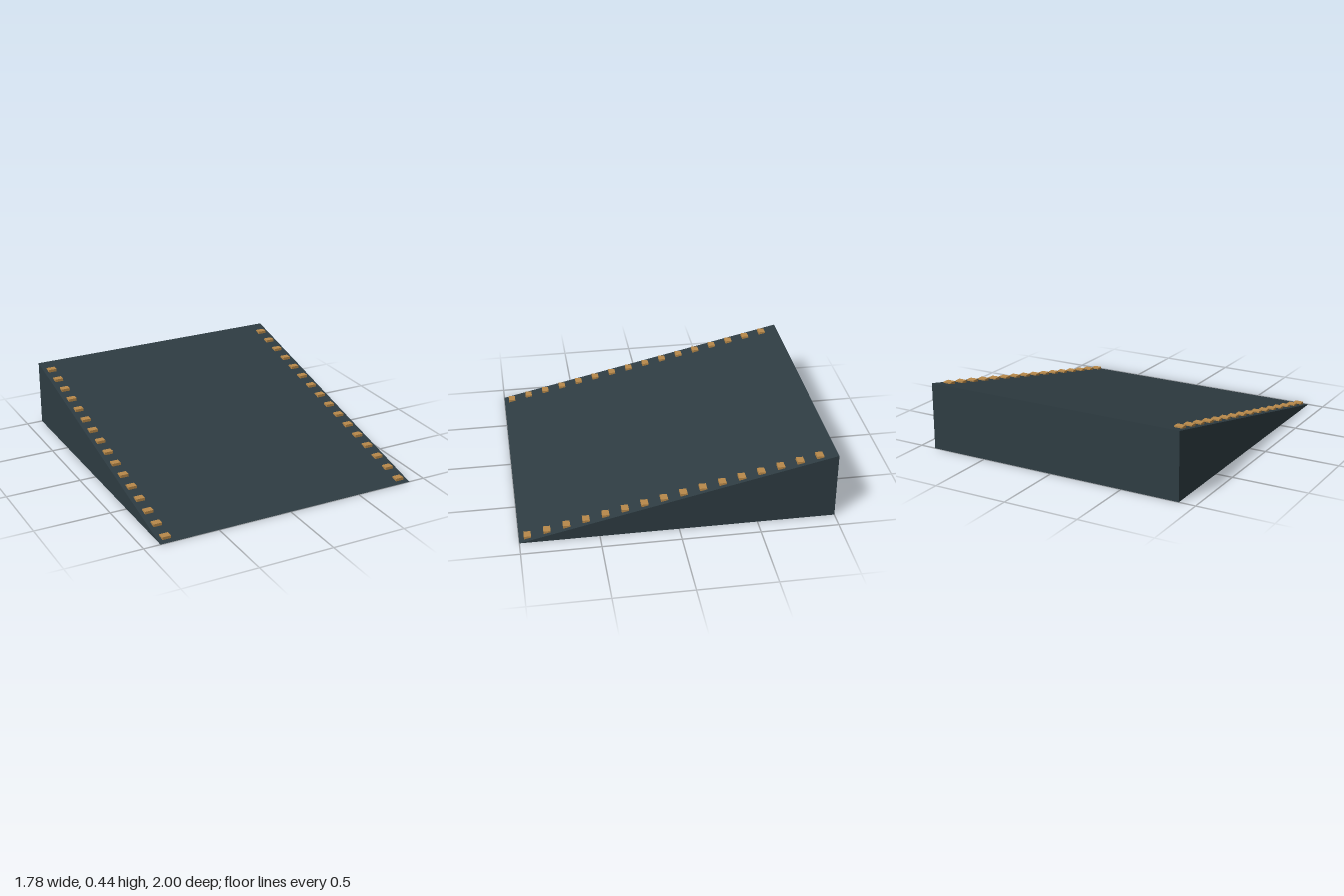
import * as THREE from 'three';

const HALF_WIDTH = 0.89, HEIGHT = 0.445;
const slopeY = (z) => HEIGHT * (1 - z) / 2;

export function createModel() {
  const slate = new THREE.MeshStandardMaterial({ name: 'darkSlate', color: 0x2e3c42 });
  const brass = new THREE.MeshStandardMaterial({ name: 'brass', color: 0xb8894a });
  const model = new THREE.Group();
  model.name = 'ramp';

  // Solid wedge: side profile extruded across the width, tall end at the back
  const profile = new THREE.Shape([
    new THREE.Vector2(-1, 0),
    new THREE.Vector2(1, 0),
    new THREE.Vector2(1, HEIGHT),
  ]);
  const wedgeGeometry = new THREE.ExtrudeGeometry(profile, { depth: HALF_WIDTH * 2, bevelEnabled: false });
  wedgeGeometry.translate(0, 0, -HALF_WIDTH).rotateY(Math.PI / 2);
  const wedge = new THREE.Mesh(wedgeGeometry, slate);
  wedge.name = 'wedge';
  model.add(wedge);

  // Level studs stepping up along both edges of the slope
  const studGeometry = new THREE.BoxGeometry(0.056, 0.018, 0.045);
  for (const side of [-1, 1]) {
    const row = new THREE.Group();
    row.name = side > 0 ? 'leftStuds' : 'rightStuds';
    for (let i = 0; i < 16; i++) {
      const z = 0.947 - i * 0.1225;
      const stud = new THREE.Mesh(studGeometry, brass);
      stud.name = 'stud';
      stud.position.set(side * 0.835, slopeY(z) + 0.005, z);
      row.add(stud);
    }
    model.add(row);
  }
  return model;
}
